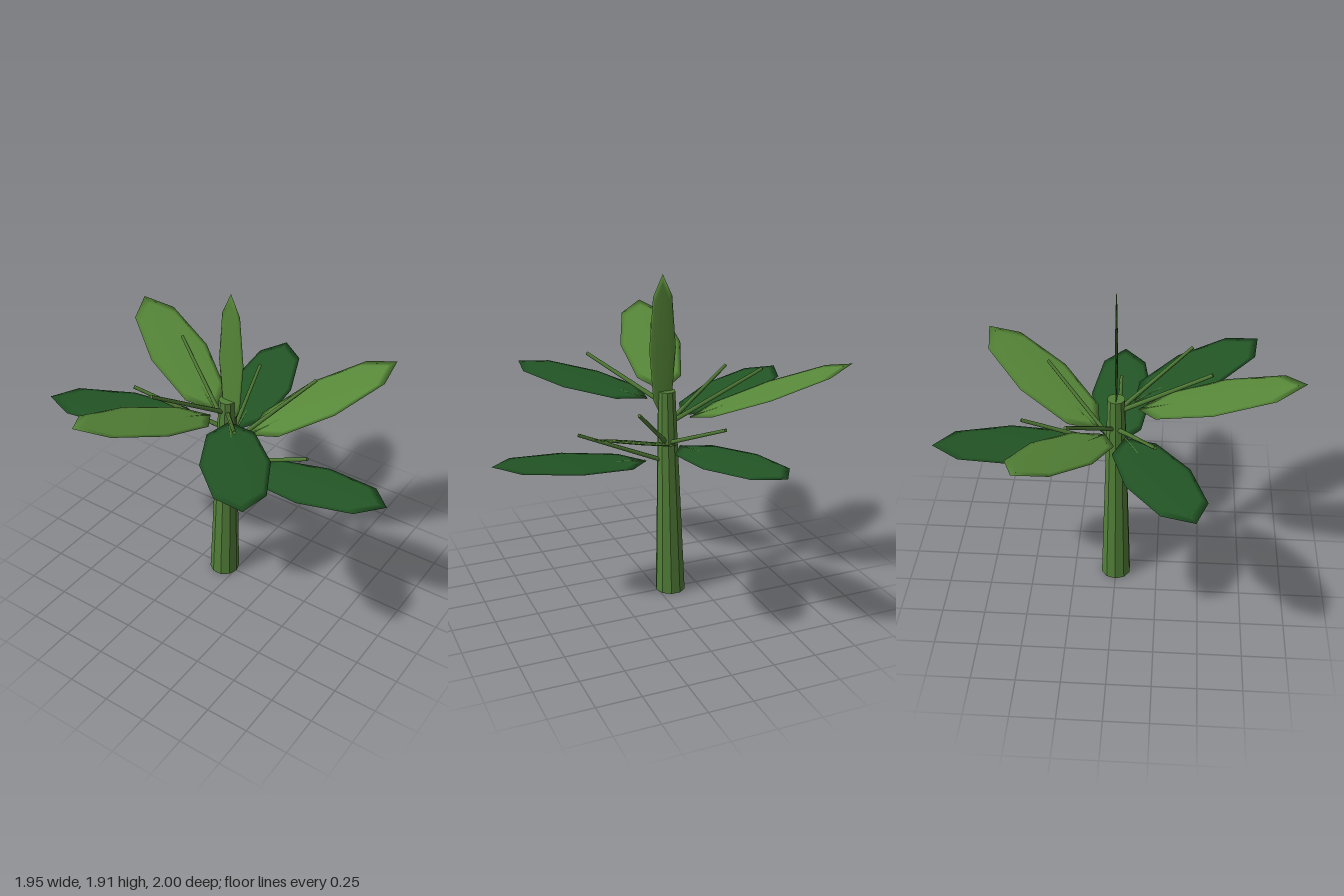
import * as THREE from 'three';

const flat = (name, color, flatShading = false) => {
  const m = new THREE.MeshStandardMaterial({ color, flatShading });
  m.name = name;
  return m;
};

export function createModel() {
  const trunkGreen = flat('trunk green', 0x527f38, true);
  const stemGreen = flat('stem green', 0x4f7a35);
  const darkLeaf = flat('dark leaf green', 0x235626);
  const lightLeaf = flat('light leaf green', 0x578839);

  const root = new THREE.Group();
  root.name = 'plant';

  const add = (parent, name, geometry, material) => {
    const mesh = new THREE.Mesh(geometry, material);
    mesh.name = name;
    parent.add(mesh);
    return mesh;
  };

  // Straight rod between two points
  const rod = (parent, name, a, b, r0, r1, material) => {
    const dir = b.clone().sub(a);
    const mesh = add(parent, name, new THREE.CylinderGeometry(r1, r0, dir.length(), 6), material);
    mesh.position.copy(a).addScaledVector(dir, 0.5);
    mesh.quaternion.setFromUnitVectors(new THREE.Vector3(0, 1, 0), dir.normalize());
  };

  // Eight-sided leaf blade: a very flat lens, long along x
  const blade = (halfLength, halfWidth) =>
    new THREE.SphereGeometry(1, 8, 6).scale(halfLength, 0.006, halfWidth);

  // Tapered trunk with a slight lean
  const trunk = new THREE.CylinderGeometry(0.05, 0.089, 1.25, 10);
  trunk.rotateY(Math.PI / 2).translate(0, 0.625, 0);
  const p = trunk.attributes.position;
  for (let i = 0; i < p.count; i++) {
    p.setX(i, p.getX(i) - 0.08 + 0.027 * p.getY(i) / 1.25);
  }
  add(root, 'trunk', trunk, trunkGreen);

  // Seven leaves climbing around the trunk, four dark and flat, three light and steep
  const levels = [0, 1, 2, 3, 1, 2, 3];
  levels.forEach((level, i) => {
    const dark = i < 4;
    const branch = new THREE.Group();
    branch.name = 'leafBranch' + (i + 1);
    branch.position.set(-0.055, 0.822 + 0.113 * level, 0);
    branch.rotation.y = -i * 5 * Math.PI * 2 / 7;
    root.add(branch);

    // Stem reaching up over the blade
    rod(branch, 'stem', new THREE.Vector3(0, 0, 0),
      new THREE.Vector3(0.53, dark ? 0.235 : 0.343, 0), 0.014, 0.01, stemGreen);

    // Blade with its midrib
    const slope = dark ? 0.11 : 0.37;
    const tipY = dark ? 0.122 : 0.377;
    const half = 0.45;
    const leaf = new THREE.Group();
    leaf.name = 'leaf';
    leaf.position.set(0.575, tipY - slope * half, 0);
    leaf.rotation.z = Math.atan(slope);
    branch.add(leaf);
    const length = half * Math.hypot(1, slope);
    add(leaf, 'blade', blade(length, 0.185), dark ? darkLeaf : lightLeaf);
    rod(leaf, 'midrib', new THREE.Vector3(-length * 0.98, 0, 0),
      new THREE.Vector3(length * 0.9, 0, 0), 0.006, 0.003, stemGreen);
  });

  // Young leaf standing upright at the top
  const shoot = add(root, 'uprightLeaf', blade(0.416, 0.08), lightLeaf);
  shoot.rotation.set(Math.PI / 2, 0, Math.PI / 2, 'XYZ');
  shoot.geometry.rotateX(Math.PI / 2).rotateZ(Math.PI / 2);
  shoot.rotation.set(0, 0, 0);
  shoot.position.set(-0.028, 1.498, 0);

  return root;
}
